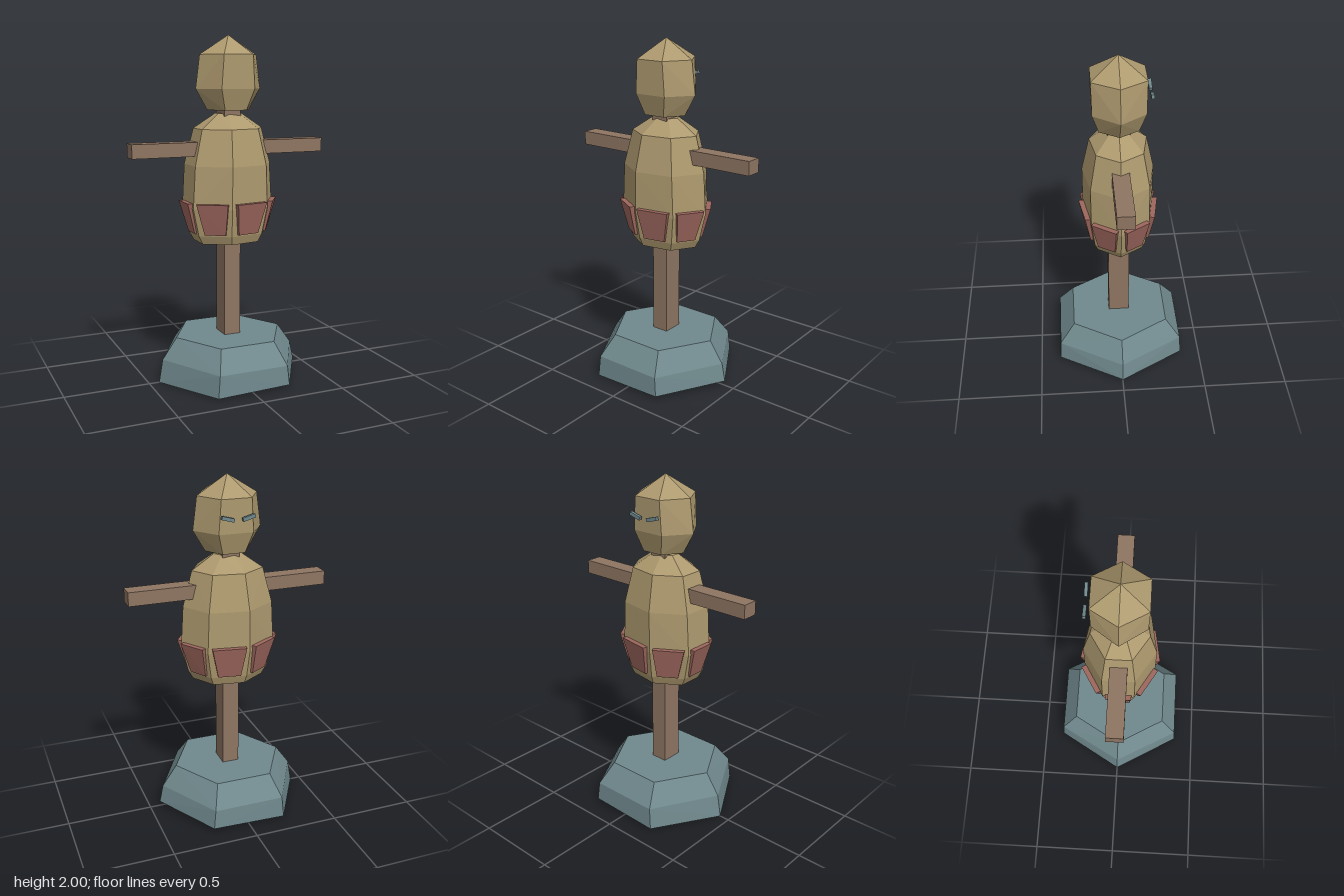
import * as THREE from 'three';
import { ConvexGeometry } from 'three/addons/geometries/ConvexGeometry.js';

const paint = (name, color) => {
  const m = new THREE.MeshStandardMaterial({ color, flatShading: true });
  m.name = name;
  return m;
};

// Point on an elliptical ring given as [radiusX, y, radiusZ]
const onRing = ([rx, y, rz], angle) =>
  new THREE.Vector3(rx * Math.cos(angle), y, rz * Math.sin(angle));

// Faceted solid through a stack of rings, with a corner on +x
function facetedSolid(rings, sides, adjust = () => {}) {
  const points = [];
  for (const ring of rings) {
    for (let i = 0; i < sides; i++) {
      const p = onRing(ring, (i / sides) * Math.PI * 2);
      adjust(p);
      points.push(p);
    }
  }
  return new ConvexGeometry(points);
}

export function createModel() {
  const model = new THREE.Group();
  model.name = 'trainingDummy';

  const straw = paint('straw', 0xae9a6f);
  const wood = paint('wood', 0x8e7562);
  const stone = paint('stone', 0x70898d);
  const cloth = paint('redCloth', 0x9e675e);

  const add = (name, geometry, material, x = 0, y = 0, z = 0) => {
    const mesh = new THREE.Mesh(geometry, material);
    mesh.name = name;
    mesh.position.set(x, y, z);
    model.add(mesh);
    return mesh;
  };

  // Six-sided stone foot with a slightly uneven underside
  add('base', facetedSolid(
    [[0.44, 0, 0.44], [0.417, 0.135, 0.433], [0.33, 0.258, 0.33]], 6,
    (p) => { if (p.y === 0) p.y = 0.014 + 0.032 * p.x; }
  ), stone);

  // Upright pole and crossbar
  add('pole', new THREE.BoxGeometry(0.1, 1.38, 0.125), wood, 0, 0.93, 0);
  add('crossbar', new THREE.BoxGeometry(1.18, 0.08, 0.096), wood, -0.002, 1.363, 0);

  // Seven-sided stuffed body
  const sides = 7;
  add('body', facetedSolid([
    [0.21, 0.82, 0.165], [0.24, 0.87, 0.185], [0.28, 1.03, 0.21],
    [0.265, 1.27, 0.21], [0.21, 1.475, 0.165], [0.08, 1.56, 0.06],
  ], sides), straw);

  // Flared cloth tabs, one on each body face
  const low = [0.238, 0.88, 0.187];
  const high = [0.278, 1.06, 0.21];
  for (let i = 0; i < sides; i++) {
    const a = (i / sides) * Math.PI * 2;
    const b = ((i + 1) / sides) * Math.PI * 2;
    const points = [];
    for (const [ring, inset, flare] of [[low, 0.18, 0.016], [high, 0.09, 0.03]]) {
      const p = onRing(ring, a);
      const q = onRing(ring, b);
      const out = new THREE.Vector3(q.z - p.z, 0, p.x - q.x).normalize();
      for (const t of [inset, 1 - inset]) {
        const corner = p.clone().lerp(q, t);
        points.push(corner.clone().addScaledVector(out, flare));
        points.push(corner.clone().addScaledVector(out, -0.02));
      }
    }
    add('clothTab' + (i + 1), new ConvexGeometry(points), cloth);
  }

  // Six-sided head with a pointed crown
  add('head', facetedSolid([
    [0.13, 1.58, 0.127], [0.2, 1.7, 0.168], [0.175, 1.89, 0.172], [0, 2, 0],
  ], 6), straw);

  // Slanted eyes on the back of the head
  for (const side of [-1, 1]) {
    const eye = add(side > 0 ? 'leftEye' : 'rightEye',
      new THREE.BoxGeometry(0.073, 0.02, 0.018), stone, side * 0.06, 1.79, -0.175);
    eye.rotation.z = side * 0.27;
  }

  return model;
}
